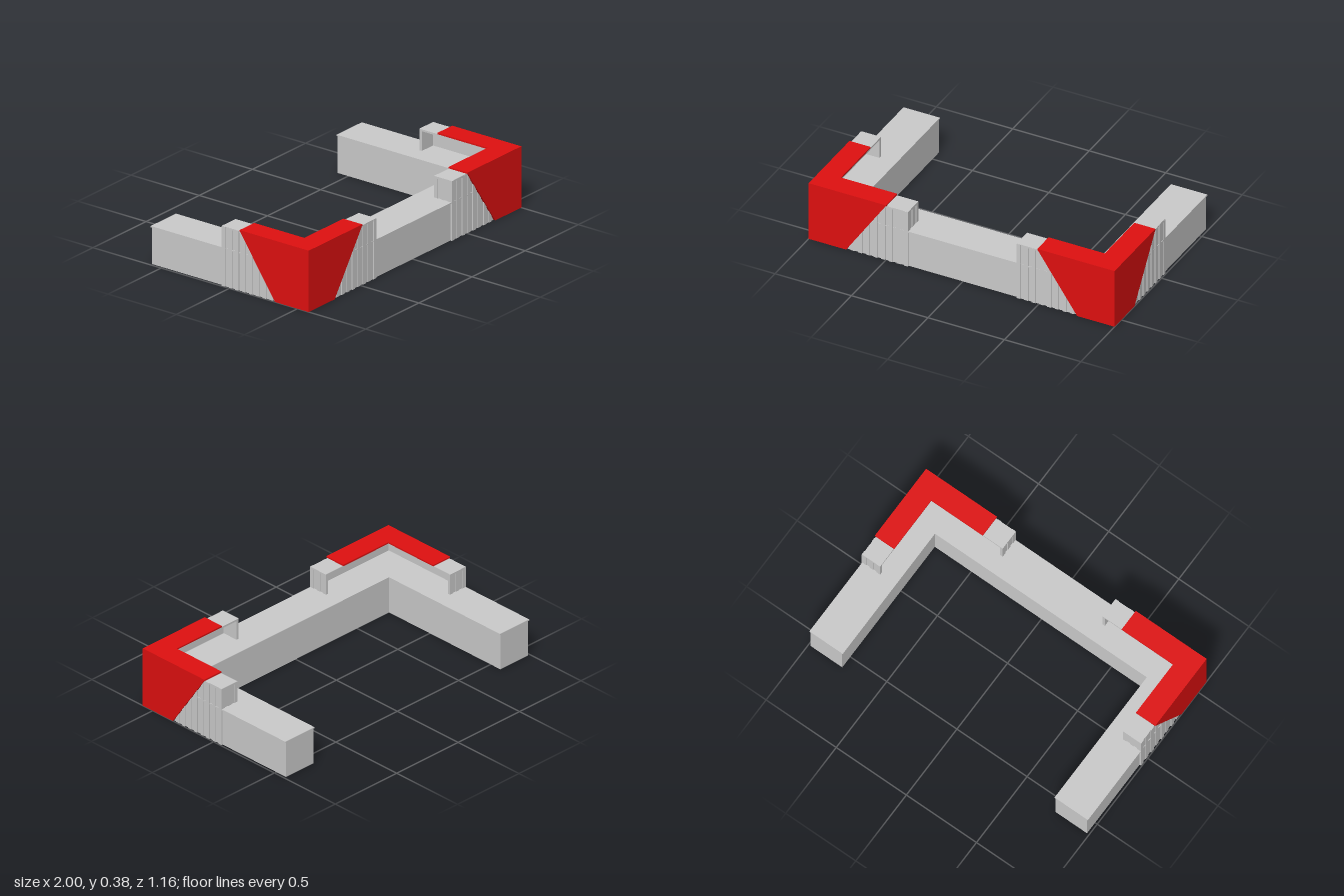
import * as THREE from 'three';

const grey = new THREE.MeshStandardMaterial({ color: 0xcccccc, flatShading: true });
const red = new THREE.MeshStandardMaterial({ color: 0xe01010, flatShading: true });

export function createModel() {
  const root = new THREE.Group();
  root.name = 'receptionCounter';

  const add = (parent, name, geo, mat) => {
    const m = new THREE.Mesh(geo, mat);
    m.name = name;
    parent.add(m);
    return m;
  };

  // Box given by its extents; s mirrors it to the other side
  const block = (parent, name, s, [x0, x1], [y0, y1], [z0, z1], mat = grey) => {
    const g = new THREE.BoxGeometry(x1 - x0, y1 - y0, z1 - z0);
    g.translate(s * (x0 + x1) / 2, (y0 + y1) / 2, (z0 + z1) / 2);
    return add(parent, name, g, mat);
  };

  // U-shaped plan, extruded upwards
  const uPlan = (xo, xi, zf, zi, zb, y, h) => {
    const pts = [[-xo, zf], [xo, zf], [xo, zb], [xi, zb], [xi, zi], [-xi, zi], [-xi, zb], [-xo, zb]];
    const shape = new THREE.Shape(pts.map(([x, z]) => new THREE.Vector2(x, -z)));
    const g = new THREE.ExtrudeGeometry(shape, { depth: h, bevelEnabled: false });
    g.rotateX(-Math.PI / 2);
    g.translate(0, y, 0);
    return g;
  };

  // Desk body and thin worktop
  add(root, 'deskBody', uPlan(0.985, 0.76, 0.565, 0.335, -0.58, 0, 0.232), grey);
  add(root, 'worktop', uPlan(0.993, 0.755, 0.572, 0.33, -0.582, 0.232, 0.008), grey);

  const TOP = 0.375;
  const X_END = 0.355, Z_END = -0.06; // ends of each raised corner
  const X_IN = 0.865, Z_IN = 0.445;   // inner edges of its shelf

  for (const s of [1, -1]) {
    const corner = new THREE.Group();
    corner.name = s > 0 ? 'leftCorner' : 'rightCorner';
    root.add(corner);

    // Outer walls, open towards the inside
    block(corner, 'frontWall', s, [X_END + 0.004, 0.985], [0, TOP - 0.012], [0.55, 0.568]);
    block(corner, 'sideWall', s, [0.97, 0.988], [0, TOP - 0.012], [Z_END + 0.004, 0.568]);

    // Raised shelf
    block(corner, 'frontShelf', s, [X_END, 0.99], [TOP - 0.012, TOP], [Z_IN, 0.574]);
    block(corner, 'sideShelf', s, [X_IN, 0.993], [TOP - 0.012, TOP], [Z_END, Z_IN]);

    // End supports
    block(corner, 'frontEndSupport', s, [X_END + 0.004, X_END + 0.018], [0.235, TOP - 0.012], [Z_IN, 0.568]);
    block(corner, 'sideEndSupport', s, [X_IN, 0.988], [0.235, TOP - 0.012], [Z_END + 0.004, Z_END + 0.018]);

    // Vertical slats of uneven depth along the walls
    const pitch = 0.025;
    for (let i = 0; i < 16; i++) {
      const d = [0.008, 0.002, 0.006, 0.001][i % 4];
      const x = X_END + i * pitch, z = Z_END + i * pitch;
      block(corner, 'frontSlat', s, [x, x + pitch], [0, TOP - 0.001], [0.56, 0.568 + d]);
      block(corner, 'sideSlat', s, [0.98, 0.988 + d], [0, TOP - 0.001], [z, z + pitch]);
    }
    // Slats on the end supports
    for (let i = 0; i < 5; i += 2) {
      const x = X_IN + i * pitch, z = Z_IN + i * pitch;
      block(corner, 'frontEndSlat', s, [X_END, X_END + 0.008], [0.24, TOP - 0.001], [z, z + pitch]);
      block(corner, 'sideEndSlat', s, [x, x + pitch], [0.24, TOP - 0.001], [Z_END, Z_END + 0.008]);
    }

    // Slanted red facing panels
    const panel = (pts) => new THREE.ExtrudeGeometry(
      new THREE.Shape(pts.map(([a, b]) => new THREE.Vector2(a, b))), { depth: 0.012, bevelEnabled: false });
    const front = panel([[0.755 * s, 0], [s, 0], [s, 0.38], [0.495 * s, 0.38]]);
    front.translate(0, 0, 0.57);
    add(corner, 'frontPanel', front, red);
    const side = panel([[0.335, 0], [0.582, 0], [0.582, 0.38], [0.075, 0.38]]);
    side.rotateY(-Math.PI / 2);
    side.translate(s > 0 ? 1 : -0.988, 0, 0);
    add(corner, 'sidePanel', side, red);

    // Red top cover around the corner
    block(corner, 'frontCover', s, [0.495, 1], [TOP, 0.384], [Z_IN - 0.003, 0.582], red);
    block(corner, 'sideCover', s, [X_IN - 0.003, 1], [TOP, 0.384], [0.075, Z_IN - 0.003], red);
  }
  return root;
}
